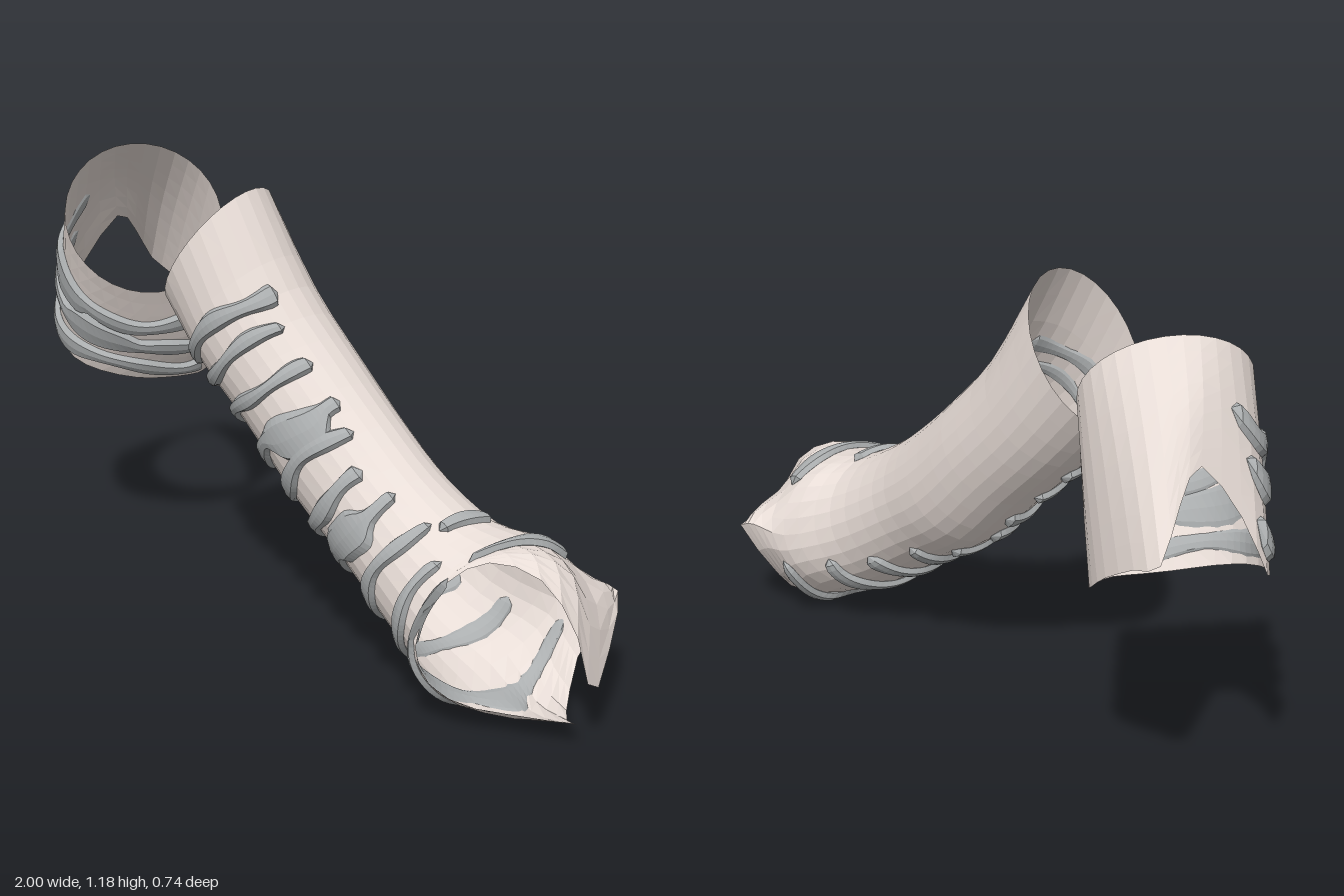
import * as THREE from 'three';

const V = (x, y, z) => new THREE.Vector3(x, y, z);
const TAU = Math.PI * 2, DEG = Math.PI / 180;
const cloth = new THREE.MeshStandardMaterial({ color: 0xe8ddd7, flatShading: true, side: THREE.DoubleSide });
const band = new THREE.MeshStandardMaterial({ color: 0xacafb0, flatShading: true, side: THREE.DoubleSide });

// Elliptical section: angle 0 = upper edge, 90 = front, 180 = lower edge, 270 = back.
// Tilt slides the front half along the sleeve and the back half the other way.
const section = ([xl, yl, xu, yu, zc, rz, tilt = 0]) => {
  const dx = (xu - xl) / 2, dy = (yu - yl) / 2, k = tilt / Math.hypot(dx, dy);
  return (a) => {
    const c = Math.cos(a), s = Math.sin(a);
    return V((xl + xu) / 2 + c * dx + s * k * dy, (yl + yu) / 2 + c * dy - s * k * dx, zc + rz * s);
  };
};

// Irregular rim through points spaced evenly in angle
const rim = (pts) => {
  const c = new THREE.CatmullRomCurve3(pts.map((p) => V(...p)), true, 'catmullrom', 0.5);
  return (a) => c.getPoint((((a / TAU) % 1) + 1) % 1);
};

// Smooth surface through a list of sections; t counts sections
const loft = (sections) => (a, t) => {
  const c = new THREE.CatmullRomCurve3(sections.map((s) => s(a)), false, 'catmullrom', 0.5);
  return c.getPoint(Math.min(1, Math.max(0, t / (sections.length - 1))));
};

function grid(fn, nu, nv) {
  const pos = [], idx = [];
  for (let i = 0; i <= nu; i++) for (let j = 0; j <= nv; j++) pos.push(...fn(i / nu, j / nv).toArray());
  for (let i = 0; i < nu; i++) for (let j = 0; j < nv; j++) {
    const a = i * (nv + 1) + j, b = a + nv + 1;
    idx.push(a, b, a + 1, b, b + 1, a + 1);
  }
  const g = new THREE.BufferGeometry();
  g.setAttribute('position', new THREE.Float32BufferAttribute(pos, 3));
  g.setIndex(idx);
  g.computeVertexNormals();
  return g;
}

function mesh(name, geo, mat) {
  const m = new THREE.Mesh(geo, mat);
  m.name = name;
  return m;
}

// Raised band wrapped on a surface: angles a0..a1, position t0..t1, half width w,
// height h, optional blob [angle, spread, extra width, shift]
function stripe(surf, tMax, sign, [a0, a1, t0, t1, w, blob], h, k) {
  const n = Math.max(10, Math.round((a1 - a0) / 5));
  return grid((s, q) => {
    const deg = a0 + (a1 - a0) * s, a = deg * DEG;
    const taper = Math.sqrt(Math.min(1, 30 * s * (1 - s)));
    let width = w * (1 + 0.18 * Math.sin(deg * 0.11 + k * 2.1));
    let t = t0 + (t1 - t0) * s + w * 0.4 * Math.sin(deg * 0.06 + k * 1.7);
    if (blob) {
      const g = Math.exp(-(((deg - blob[0]) / blob[1]) ** 6));
      width += blob[2] * g;
      t += blob[3] * g;
    }
    t = Math.min(tMax - 0.02, Math.max(0.02, t + width * taper * Math.cos(q * TAU)));
    const p = surf(a, t), e = 0.01;
    const da = surf(a + e, t).sub(surf(a - e, t));
    const dt = surf(a, t + e).sub(surf(a, t - e));
    const nrm = da.cross(dt).normalize().multiplyScalar(sign);
    const lift = Math.sin(q * TAU);
    return p.addScaledVector(nrm, taper * h * (lift > 0 ? Math.sqrt(lift) : lift * 0.4));
  }, n, 8);
}

function sleeve(name, surf, tMax, sign, sides, rows, stripes, h) {
  const g = new THREE.Group();
  g.name = name;
  g.add(mesh(name + 'Cloth', grid((u, v) => surf(u * TAU, v * tMax), sides, rows), cloth));
  stripes.forEach((s, k) => g.add(mesh(name + 'Band', stripe(surf, tMax, sign, s, h, k), band)));
  return g;
}

export function createModel() {
  const model = new THREE.Group();

  // Long bent sleeve: lower x,y / upper x,y / z centre / z radius / tilt
  const arm = [
    [-0.38, 0.84, -0.115, 1.185, 0.145, 0.165, 0.04],
    [-0.25, 0.70, 0.02, 0.95, 0.11, 0.17, 0.02],
    [-0.09, 0.55, 0.17, 0.79, 0.07, 0.168],
    [0.08, 0.39, 0.32, 0.66, 0.04, 0.163],
    [0.28, 0.27, 0.46, 0.56, 0.02, 0.165],
    [0.46, 0.15, 0.60, 0.485, -0.01, 0.19],
    [0.60, 0.07, 0.70, 0.46, -0.05, 0.24],
  ].map(section);
  // End rim with an upper and a lower tongue
  const armRim = rim([
    [0.87, 0.42, -0.03], [0.77, 0.445, 0.03], [0.71, 0.41, 0.10], [0.68, 0.33, 0.16],
    [0.67, 0.23, 0.19], [0.69, 0.14, 0.17], [0.75, 0.085, 0.11], [0.85, 0.07, 0.02],
    [0.97, 0.07, -0.07], [0.88, 0.025, -0.12], [0.80, 0.025, -0.19], [0.74, 0.12, -0.28],
    [0.77, 0.27, -0.37], [0.885, 0.21, -0.25], [1.0, 0.155, -0.09], [0.96, 0.32, -0.06],
  ]);
  const bulge = (a) => {
    const k = Math.max(0, Math.cos(a - 315 * DEG)) ** 2 * 0.055;
    const low = Math.max(0, Math.cos(a - 180 * DEG)) ** 2 * 0.05;
    return arm[6](a).lerp(armRim(a), 0.5).add(V(k * 0.5, k * 0.6 - low, -k * 0.7));
  };
  const armSurf = loft([...arm, bulge, armRim]);
  model.add(sleeve('longSleeve', armSurf, 8, 1, 28, 24, [
    [10, 170, 0.95, 0.85, 0.11],
    [20, 178, 1.35, 1.3, 0.1],
    [18, 180, 1.95, 1.8, 0.1],
    [18, 185, 2.5, 2.4, 0.11, [66, 28, 0.2, 0.14]],
    [24, 180, 2.9, 2.9, 0.12],
    [38, 195, 3.55, 3.4, 0.13],
    [28, 222, 4.1, 3.9, 0.13, [88, 24, 0.18, 0.0]],
    [22, 232, 4.75, 4.6, 0.12],
    [38, 242, 5.6, 5.3, 0.15],
    [45, 250, 6.5, 6.6, 0.24, [105, 45, 0.3, 0.05]],
    [-25, 22, 5.0, 5.0, 0.14],
    [-48, 30, 6.2, 6.35, 0.16],
  ], 0.017));

  // Short sleeve: tilted upper opening, lower rim notched on the outer side
  const cuffTop = section([-0.45, 0.845, -0.73, 1.18, 0.16, 0.205, -0.06]);
  const cuffRim = rim([
    [-0.90, 0.93, 0.06], [-0.94, 0.80, 0.15], [-0.98, 0.66, 0.20], [-0.88, 0.625, 0.27],
    [-0.77, 0.59, 0.29], [-0.69, 0.565, 0.25], [-0.63, 0.545, 0.17], [-0.60, 0.54, 0.10],
    [-0.58, 0.54, 0.03], [-0.59, 0.54, -0.02], [-0.63, 0.55, -0.07], [-0.71, 0.595, -0.11],
    [-0.80, 0.655, -0.13], [-0.92, 0.72, -0.13], [-1.0, 0.755, -0.11], [-0.94, 0.87, -0.02],
  ]);
  const cuffMid = (a) => cuffTop(a).lerp(cuffRim(a), 0.5).add(V(-0.01 * Math.cos(a), 0.01 * Math.cos(a), 0));
  const cuffSurf = loft([cuffTop, cuffMid, cuffRim]);
  model.add(sleeve('shortSleeve', cuffSurf, 2, -1, 32, 8, [
    [18, 200, 0.8, 0.7, 0.14, [88, 18, 0.12, 0.1]],
    [28, 205, 1.25, 1.2, 0.14, [115, 25, 0.12, -0.05]],
    [35, 198, 1.72, 1.7, 0.14],
  ], 0.017));

  return model;
}
